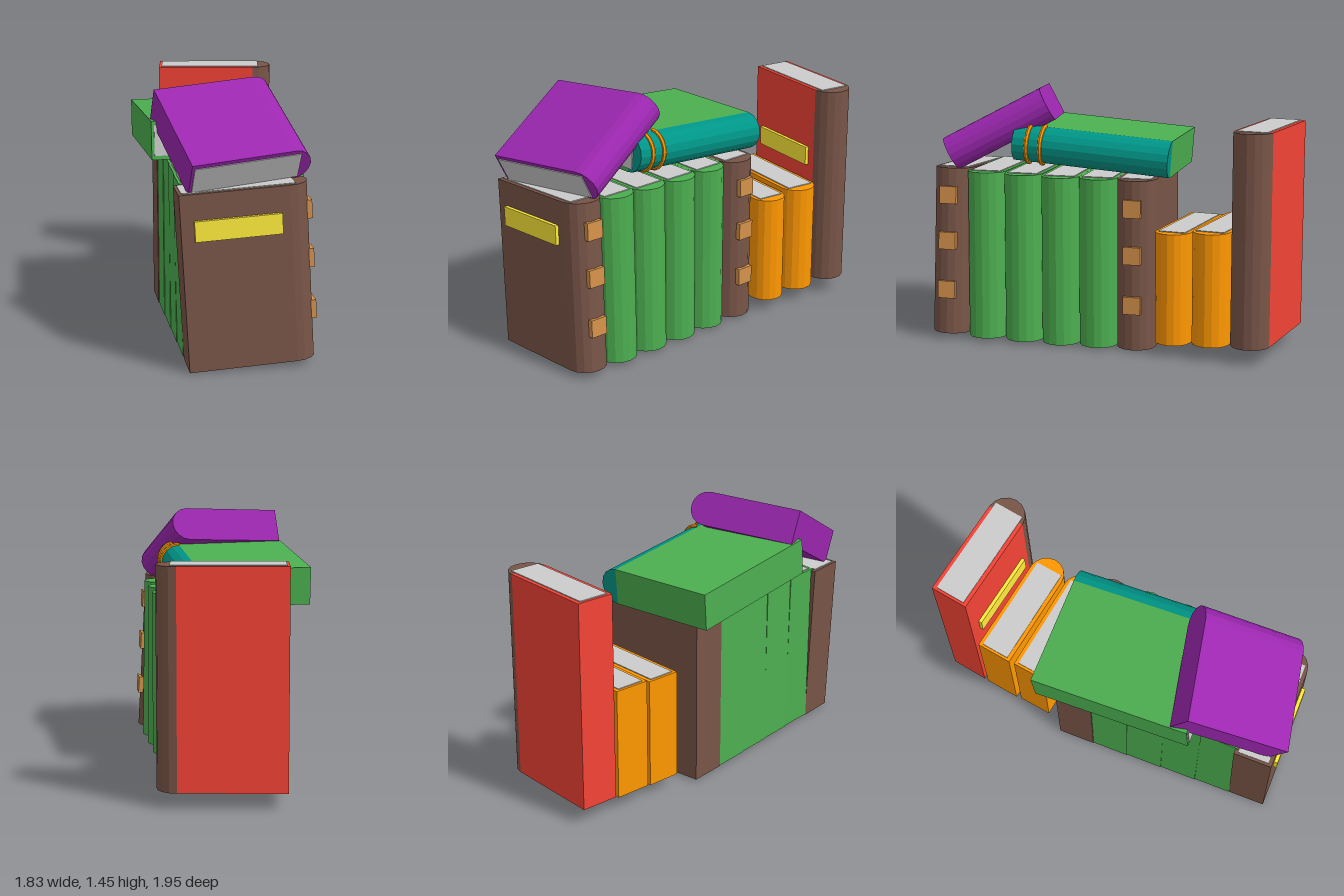
import * as THREE from 'three';

const RED = 0xf44336, BROWN = 0x795548, ORANGE = 0xff9800, GREEN = 0x4caf50;
const TEAL = 0x009688, PURPLE = 0x9c27b0, YELLOW = 0xffeb3b, TAN = 0xd4924a, GREY = 0xcccccc;

const materials = {};
function mat(color) {
  materials[color] ??= new THREE.MeshStandardMaterial({ color, flatShading: true });
  return materials[color];
}

function add(group, name, geometry, color, x, y, z) {
  const mesh = new THREE.Mesh(geometry, mat(color));
  mesh.name = name;
  mesh.position.set(x, y, z);
  group.add(mesh);
  return mesh;
}

// A closed book: x runs from fore edge to spine, y from tail to head, z across the thickness.
// The origin is the middle of the fore edge at the tail.
function book(name, { h, t = 0.22, body = 0.58, cover, spine = cover, label, clasps, bands }) {
  const g = new THREE.Group();
  g.name = name;
  const r = t / 2, lip = 0.005;
  const top = h - lip;
  add(g, 'cover', new THREE.BoxGeometry(body, top, t), cover, body / 2, top / 2, 0);
  add(g, 'spine', new THREE.CylinderGeometry(r, r, top, 8, 1, false, 0, Math.PI), spine, body, top / 2, 0);

  // page block showing at the head
  const pageLength = body + 0.02;
  add(g, 'pages', new THREE.BoxGeometry(pageLength, 0.02, t - 0.045), GREY, 0.015 + pageLength / 2, h - 0.01, 0);

  // raised title plate on one cover
  if (label) add(g, 'label', new THREE.BoxGeometry(0.46, 0.11, 0.04), YELLOW, 0.3, label, r);

  // blocks on the spine
  for (const y of clasps ?? [])
    add(g, 'clasp', new THREE.BoxGeometry(0.07, 0.1, 0.1), TAN, body + r - 0.02, y, 0);

  // raised rings round the spine
  for (const y of bands ?? []) {
    const band = add(g, 'spineBand', new THREE.TorusGeometry(r + 0.002, 0.013, 6, 10, Math.PI), ORANGE, body, y, 0);
    band.rotation.set(Math.PI / 2, 0, -Math.PI / 2, 'YXZ');
    band.rotation.set(-Math.PI / 2, 0, -Math.PI / 2);
  }
  return g;
}

// Put a book down with its spine pointing along d and its head along up.
function place(g, position, d, up) {
  const x = new THREE.Vector3(...d).normalize();
  const y = new THREE.Vector3(...up);
  y.addScaledVector(x, -y.dot(x)).normalize();
  const z = new THREE.Vector3().crossVectors(x, y);
  g.quaternion.setFromRotationMatrix(new THREE.Matrix4().makeBasis(x, y, z));
  g.position.set(...position);
  return g;
}

// Spine direction of a standing book from its turn and its rise, in degrees.
function heading(turn, rise = 0) {
  const a = THREE.MathUtils.degToRad(turn), p = THREE.MathUtils.degToRad(rise);
  return [Math.cos(a) * Math.cos(p), Math.sin(p), -Math.sin(a) * Math.cos(p)];
}

export function createModel() {
  const model = new THREE.Group();
  model.name = 'bookStack';
  const up = [0, 1, 0];

  // tall book and two short ones at the back
  model.add(
    place(book('tallBook', { h: 1.19, cover: RED, spine: BROWN, label: 0.765 }),
      [-0.86, 0.092, -0.55], heading(35.5), up),
    place(book('shortBook', { h: 0.64, t: 0.21, cover: ORANGE }),
      [-0.72, 0.08, -0.36], heading(36), up),
    place(book('shortBook', { h: 0.635, t: 0.2, cover: ORANGE }),
      [-0.575, 0.068, -0.18], heading(37), up),
  );

  // row of six: clasped books at the ends, matching volumes between
  for (let i = 0; i < 6; i++) {
    const end = i === 0 || i === 5;
    const b = book(end ? 'claspedBook' : 'volume', {
      h: 0.97,
      cover: end ? BROWN : GREEN,
      label: i === 5 || i === 2 ? 0.77 : 0,
      clasps: end ? [0.26, 0.545, 0.81] : [],
    });
    const rise = [0, 0, 0, 0.5, 1, 3][i];
    const lean = i === 5 ? [-0.012, 1, -0.012] : up;
    model.add(place(b, [-0.41 + 0.159 * i, i === 5 ? 0.003 : 0.01, 0.09 + 0.153 * i], heading(45, rise), lean));
  }

  // two books lying on top of the row
  model.add(
    place(book('lyingBook', { h: 0.91, t: 0.21, body: 0.63, cover: GREEN, spine: TEAL, bands: [0.74, 0.82] }),
      [-0.615, 1.078, 0.045], [0.7, 0, -0.71], [0.7, 0.077, 0.7]),
    place(book('leaningBook', { h: 0.63, t: 0.2, body: 0.57, cover: PURPLE }),
      [-0.005, 1.335, 0.63], [0.55, 0.05, -0.83], [0.71, -0.46, 0.52]),
  );
  return model;
}
